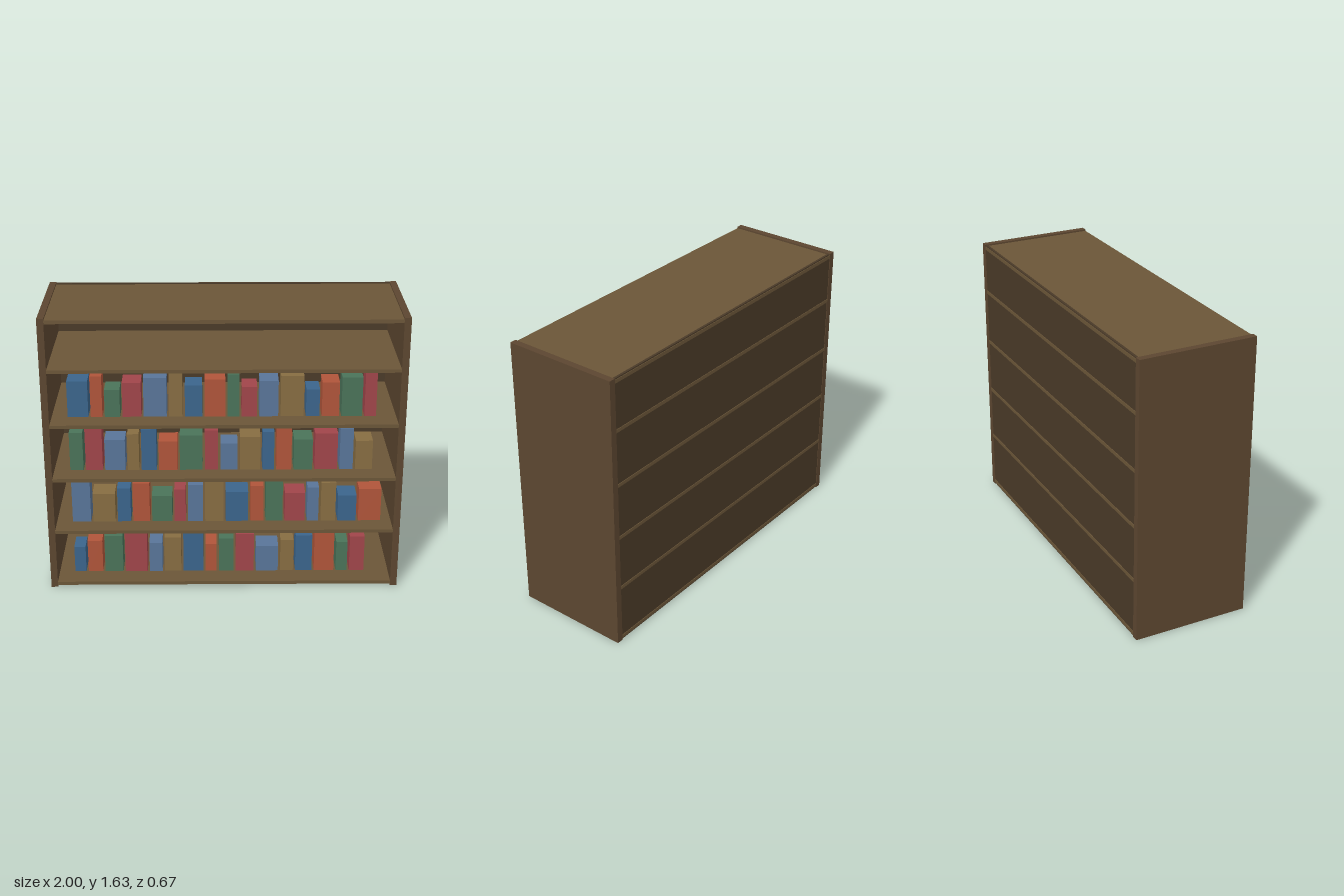
import * as THREE from 'three';

const mat = (color) => new THREE.MeshStandardMaterial({ color });

// Box given by its lower and upper corners
function box(name, material, [x0, y0, z0], [x1, y1, z1]) {
  const mesh = new THREE.Mesh(new THREE.BoxGeometry(x1 - x0, y1 - y0, z1 - z0), material);
  mesh.position.set((x0 + x1) / 2, (y0 + y1) / 2, (z0 + z1) / 2);
  mesh.name = name;
  return mesh;
}

export function createModel() {
  const group = new THREE.Group();
  group.name = 'bookcase';

  const H = 1.63, D = 0.335, INNER = 0.962;
  const sideMat = mat(0x5c4630), shelfMat = mat(0x6b5638), backMat = mat(0x4a3a28);

  // Side panels
  group.add(box('rightSidePanel', sideMat, [-1, 0, -D], [-INNER, H, D]));
  group.add(box('leftSidePanel', sideMat, [INNER, 0, -D], [1, H, D]));

  // Back panel, rising slightly above the top board
  group.add(box('backPanel', backMat, [-INNER, 0.004, -D + 0.003], [INNER, H - 0.002, -D + 0.016]));

  // Bottom board, shelves and top board; their rear edges show through the back
  const levels = [0.022, 0.354, 0.679, 1.004, 1.329, 1.611];
  const boardNames = ['bottomBoard', 'shelf1', 'shelf2', 'shelf3', 'shelf4', 'topBoard'];
  levels.forEach((y, i) => {
    group.add(box(boardNames[i], shelfMat, [-INNER, y - 0.01, -D], [INNER, y + 0.01, D - 0.001]));
  });

  // Books: widths, heights and colours repeat in cycles shifted on each shelf
  const widths = [0.115, 0.065, 0.085, 0.105, 0.128, 0.075, 0.096];
  const heights = [0.21, 0.24, 0.16, 0.2, 0.23, 0.26, 0.185, 0.22, 0.25, 0.175];
  const covers = [0x3b658c, 0xb0553a, 0x4a7359, 0xa0454a, 0x597599, 0x876d42].map(mat);
  const bases = [0.052, 0.378, 0.703, 1.029];
  const GAP = 0.013, FRONT = 0.245, DEPTH = 0.13;

  bases.forEach((y, row) => {
    const books = new THREE.Group();
    books.name = `bookRow${row + 1}`;
    let x = -0.868;
    for (let i = 0; i < 16; i++) {
      const w = widths[(1 + 2 * row + i) % 7];
      const h = heights[(2 + 6 * row + i) % 10];
      const cover = covers[(4 * row + i) % 6];
      books.add(box('book', cover, [x, y, FRONT - DEPTH], [x + w, y + h, FRONT]));
      x += w + GAP;
    }
    group.add(books);
  });

  return group;
}
